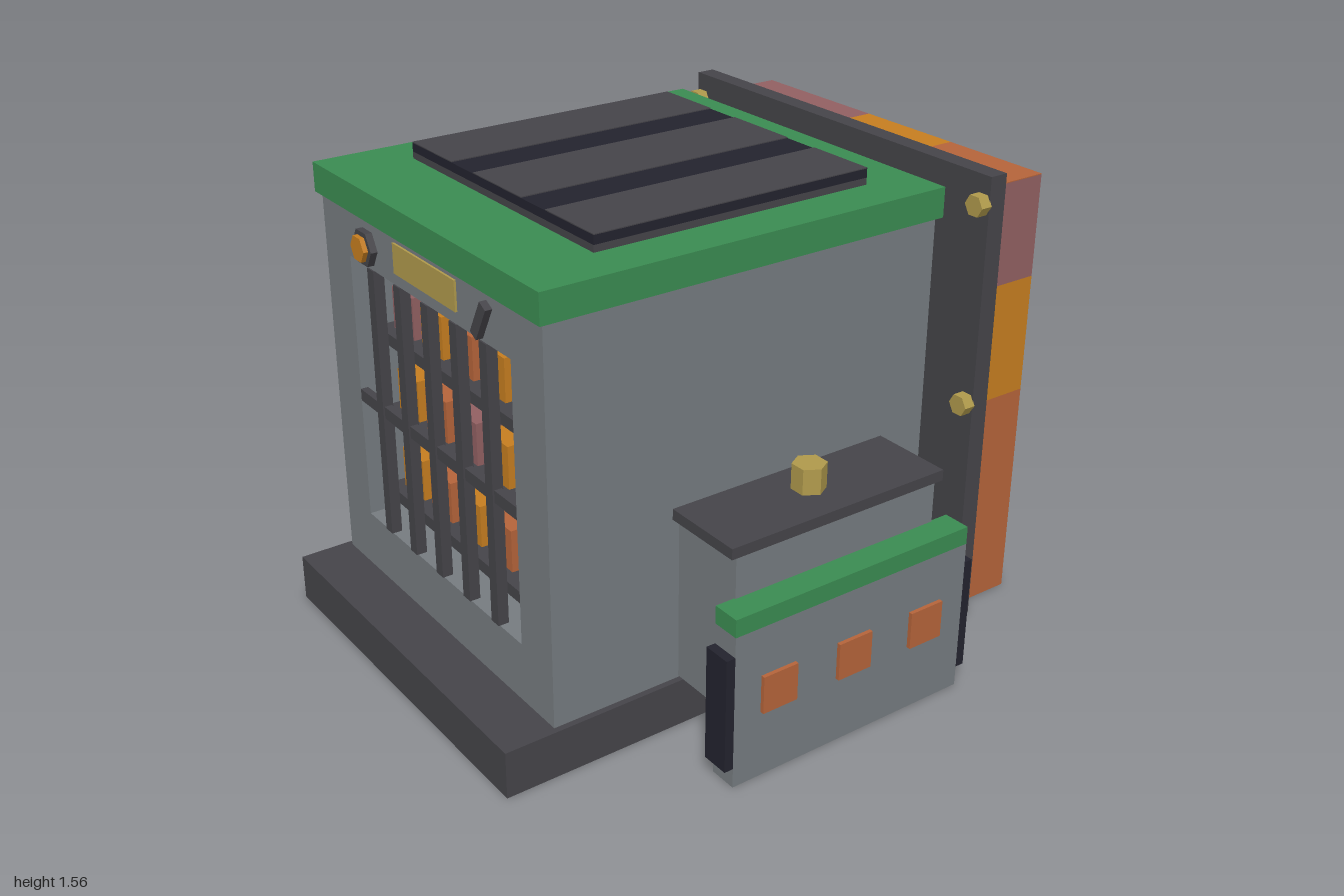
import * as THREE from 'three';

const mat = (name, color, side = THREE.FrontSide) => {
  const m = new THREE.MeshStandardMaterial({ color, side });
  m.name = name;
  return m;
};

export function createModel() {
  const model = new THREE.Group();
  model.name = 'storageMachine';

  const steel = mat('steelGrey', 0x767c80, THREE.DoubleSide);
  const charcoal = mat('charcoal', 0x454449, THREE.DoubleSide);
  const navy = mat('navyBlack', 0x23232e);
  const green = mat('green', 0x3b8c52);
  const copper = mat('copper', 0xb5643a, THREE.DoubleSide);
  const amber = mat('amber', 0xc67e20);
  const mauve = mat('mauve', 0x926062);
  const brass = mat('brass', 0xb09a4c);

  const add = (name, geometry, material, parent = model) => {
    const mesh = new THREE.Mesh(geometry, material);
    mesh.name = name;
    parent.add(mesh);
    return mesh;
  };

  // Box given by its lower and upper corners
  const box = (name, material, [x0, y0, z0], [x1, y1, z1], parent, openBottom = false) => {
    const g = new THREE.BoxGeometry(x1 - x0, y1 - y0, z1 - z0);
    if (openBottom) {
      const idx = Array.from(g.index.array);
      idx.splice(18, 6);
      g.setIndex(idx);
      g.clearGroups();
    }
    g.translate((x0 + x1) / 2, (y0 + y1) / 2, (z0 + z1) / 2);
    return add(name, g, material, parent);
  };

  // Six-sided rod along x or y with sharp facets
  const hex = (name, material, r, length, axis, [x, y, z], parent) => {
    const g = new THREE.CylinderGeometry(r, r, length, 6).toNonIndexed();
    if (axis === 'x') g.rotateZ(Math.PI / 2);
    g.computeVertexNormals();
    g.translate(x, y, z);
    return add(name, g, material, parent);
  };

  // Hollow base
  box('base', charcoal, [-0.985, 0, -0.655], [0.705, 0.155, 0.655], model, true);

  // Body: solid rear block and a cabinet frame with a window on the -x side
  box('bodyBlock', steel, [-0.42, 0.155, -0.635], [0.563, 1.41, 0.635]);
  const wall = new THREE.Shape();
  wall.moveTo(-0.635, 0.155).lineTo(0.635, 0.155).lineTo(0.635, 1.41).lineTo(-0.635, 1.41).closePath();
  const hole = new THREE.Path();
  hole.moveTo(-0.47, 0.35).lineTo(-0.47, 1.25).lineTo(0.47, 1.25).lineTo(0.47, 0.35).closePath();
  wall.holes.push(hole);
  const frame = new THREE.ExtrudeGeometry(wall, { depth: 0.39, bevelEnabled: false });
  frame.rotateY(-Math.PI / 2);
  frame.translate(-0.42, 0, 0);
  add('cabinetFrame', frame, steel);

  // Shelves with stored blocks
  const shelves = new THREE.Group();
  shelves.name = 'shelves';
  model.add(shelves);
  const goods = [amber, copper, amber, copper, mauve];
  for (let row = 0; row < 3; row++) {
    const y = 0.4 + row * 0.28;
    box('shelf', charcoal, [-0.74, y, -0.47], [-0.42, y + 0.04, 0.47], shelves);
    for (let i = 0; i < 5; i++) {
      const z = -0.36 + i * 0.18;
      box('storedBlock', goods[(i + row * 2) % 5], [-0.7, y + 0.04, z - 0.065], [-0.46, y + 0.18, z + 0.065], shelves);
    }
  }

  // Window bars
  const bars = new THREE.Group();
  bars.name = 'windowBars';
  model.add(bars);
  for (let i = -2; i <= 2; i++) {
    box('verticalBar', charcoal, [-0.815, 0.35, i * 0.165 - 0.02], [-0.78, 1.25, i * 0.165 + 0.02], bars);
  }
  box('crossBar', charcoal, [-0.81, 0.76, -0.47], [-0.785, 0.8, 0.47], bars);

  // Fittings above the window
  hex('dialBezel', charcoal, 0.06, 0.025, 'x', [-0.82, 1.32, -0.34]);
  hex('dial', amber, 0.043, 0.016, 'x', [-0.84, 1.32, -0.34]);
  box('namePlate', brass, [-0.817, 1.29, -0.17], [-0.809, 1.385, 0.19]);
  const latch = add('latch', new THREE.BoxGeometry(0.025, 0.12, 0.035), charcoal);
  latch.position.set(-0.82, 1.32, 0.34);
  latch.rotation.x = 0.5;

  // Roof and striped hatch
  box('roof', green, [-0.827, 1.41, -0.65], [0.58, 1.505, 0.65]);
  box('hatchPlinth', charcoal, [-0.56, 1.505, -0.5], [0.405, 1.527, 0.5]);
  box('hatch', navy, [-0.56, 1.527, -0.5], [0.405, 1.555, 0.5]);
  for (const [z0, z1] of [[-0.5, -0.26], [-0.133, 0.133], [0.26, 0.5]]) {
    box('hatchStrip', charcoal, [-0.56, 1.555, z0], [0.405, 1.558, z1]);
  }

  // Matching side units on the front and back
  for (const turn of [0, Math.PI]) {
    const unit = new THREE.Group();
    unit.name = turn ? 'backUnit' : 'frontUnit';
    unit.rotation.y = turn;
    model.add(unit);
    box('neck', steel, [-0.372, 0.16, 0.62], [0.372, 0.7, 0.9], unit);
    box('neckLid', charcoal, [-0.395, 0.7, 0.62], [0.395, 0.735, 0.91], unit);
    hex('lidKnob', brass, 0.053, 0.085, 'y', [0, 0.775, 0.762], unit);
    box('facePlate', steel, [-0.437, 0, 0.895], [0.437, 0.505, 0.987], unit, true);
    box('faceCap', green, [-0.437, 0.505, 0.895], [0.437, 0.563, 0.987], unit);
    for (const s of [-1, 1]) {
      const xs = [s * 0.437, s * 0.467].sort((a, b) => a - b);
      box('sideGuard', navy, [xs[0], 0.065, 0.895], [xs[1], 0.44, 0.987], unit);
    }
    for (const x of [-0.28, 0, 0.28]) {
      box('button', copper, [x - 0.062, 0.222, 0.98], [x + 0.062, 0.345, 1], unit);
    }
  }

  // Rods joining the body to the end frame
  for (const y of [0.44, 1.003]) {
    for (const z of [-0.312, 0.312]) hex('joiningRod', copper, 0.074, 0.15, 'x', [0.632, y, z]);
  }

  // End frame and its bolts
  box('endFrame', charcoal, [0.7, 0, -0.718], [0.763, 1.53, 0.718]);
  for (const y of [0.13, 0.785, 1.44]) {
    for (const z of [-0.69, 0.69]) hex('frameBolt', brass, 0.036, 0.04, 'x', [0.682, y, z]);
  }

  // Banded end panel, with a banded top
  const panel = new THREE.Group();
  panel.name = 'endPanel';
  model.add(panel);
  box('lowerBand', copper, [0.763, 0, -0.655], [0.985, 0.74, 0.655], panel, true);
  box('middleBand', amber, [0.763, 0.74, -0.655], [0.985, 1.133, 0.655], panel);
  box('upperBand', mauve, [0.763, 1.133, -0.655], [0.985, 1.467, 0.655], panel);
  box('topStripAmber', amber, [0.763, 1.467, -0.133], [0.985, 1.47, 0.26], panel);
  box('topStripCopper', copper, [0.763, 1.467, 0.26], [0.985, 1.47, 0.655], panel);
  box('topStripMauve', mauve, [0.763, 1.467, -0.655], [0.985, 1.47, -0.133], panel);

  return model;
}
